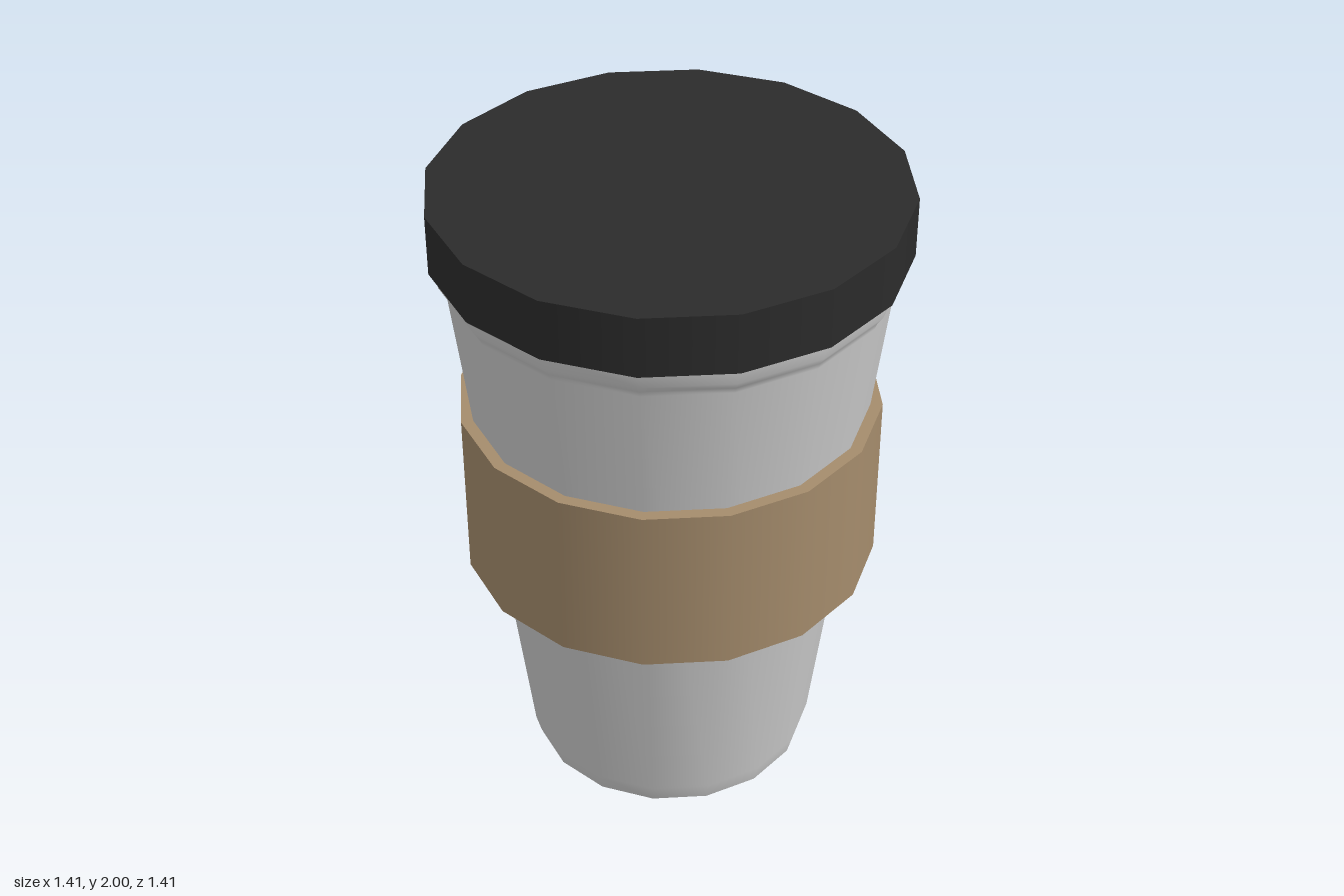
import * as THREE from 'three';

const SIDES = 16;

export function createModel() {
  const group = new THREE.Group();
  const cupMaterial = new THREE.MeshStandardMaterial({ color: 0xcccccc });
  const bandMaterial = new THREE.MeshStandardMaterial({ color: 0xa58c6c });
  const lidMaterial = new THREE.MeshStandardMaterial({ color: 0x2b2b2b });

  function add(name, geometry, material, y = 0) {
    const mesh = new THREE.Mesh(geometry, material);
    mesh.name = name;
    mesh.position.y = y;
    group.add(mesh);
  }

  // capped cylinder spanning two heights
  function drum(name, radius, bottom, top, material) {
    const geometry = new THREE.CylinderGeometry(radius, radius, top - bottom, SIDES);
    add(name, geometry, material, (top + bottom) / 2);
  }

  // tapered wall with a bevelled foot and a flared rim that ends inside the lid
  const profile = [
    [0.44, 0], [0.456, 0.06], [0.655, 1.72], [0.662, 1.74],
    [0.679, 1.765], [0.684, 1.82], [0.684, 1.9],
  ].map(([r, y]) => new THREE.Vector2(r, y));
  add('cupWall', new THREE.LatheGeometry(profile, SIDES), cupMaterial);

  // flat underside, kept separate so its edge stays sharp
  add('cupBase', new THREE.CircleGeometry(0.44, SIDES).rotateX(Math.PI / 2), cupMaterial);

  // grip band and lid
  drum('gripBand', 0.64, 0.75, 1.29, bandMaterial);
  drum('lid', 0.704, 1.815, 2, lidMaterial);

  return group;
}
